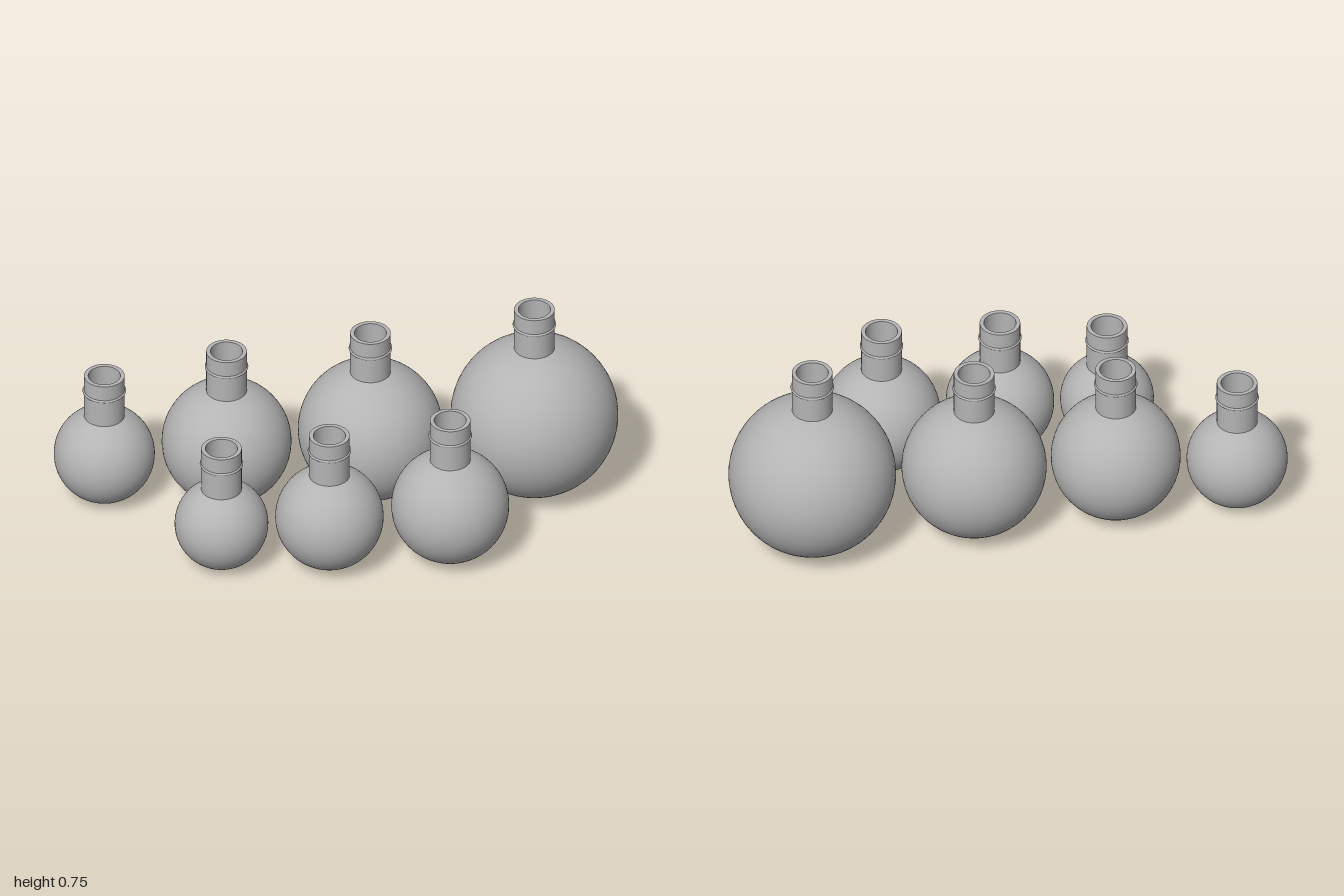
import * as THREE from 'three';

const NECK_R = 0.072, BORE_R = 0.057, NECK_RISE = 0.155;

// x, z, bulb radius
const FLASKS = [
  [-0.82, -0.275, 0.179], [-0.39, -0.225, 0.23], [0.12, -0.198, 0.257], [0.70, -0.157, 0.297],
  [-0.46, 0.19, 0.166], [-0.08, 0.232, 0.192], [0.35, 0.24, 0.209],
];

function makeFlask(r, glass) {
  const flask = new THREE.Group();
  flask.name = 'flask';
  const add = (geometry, name, y) => {
    const mesh = new THREE.Mesh(geometry, glass);
    mesh.name = name;
    mesh.position.y = y;
    flask.add(mesh);
    return mesh;
  };
  const top = 2 * r + NECK_RISE;

  // Round bulb standing on the ground
  add(new THREE.SphereGeometry(r, 64, 40), 'bulb', r);

  // Open neck: separate walls and rim keep the edges crisp
  const foot = r + Math.sqrt(r * r - NECK_R * NECK_R) - 0.01;
  const wall = (a, b, name) =>
    add(new THREE.LatheGeometry([a, b].map(p => new THREE.Vector2(...p)), 48), name, 0);
  wall([NECK_R, foot], [NECK_R, top], 'neckOuterWall');
  wall([NECK_R, top], [BORE_R, top], 'neckRim');
  wall([BORE_R, top], [BORE_R, foot], 'neckInnerWall');

  // Thin bead around the neck
  add(new THREE.TorusGeometry(NECK_R, 0.005, 10, 48), 'neckBead', top - 0.064).rotation.x = Math.PI / 2;
  return flask;
}

export function createModel() {
  const model = new THREE.Group();
  model.name = 'flaskSet';
  const glass = new THREE.MeshStandardMaterial({ color: 0xb4b4b4 });
  glass.name = 'grey glass';
  for (const [x, z, r] of FLASKS) {
    const flask = makeFlask(r, glass);
    flask.position.set(x, 0, z);
    model.add(flask);
  }
  return model;
}
